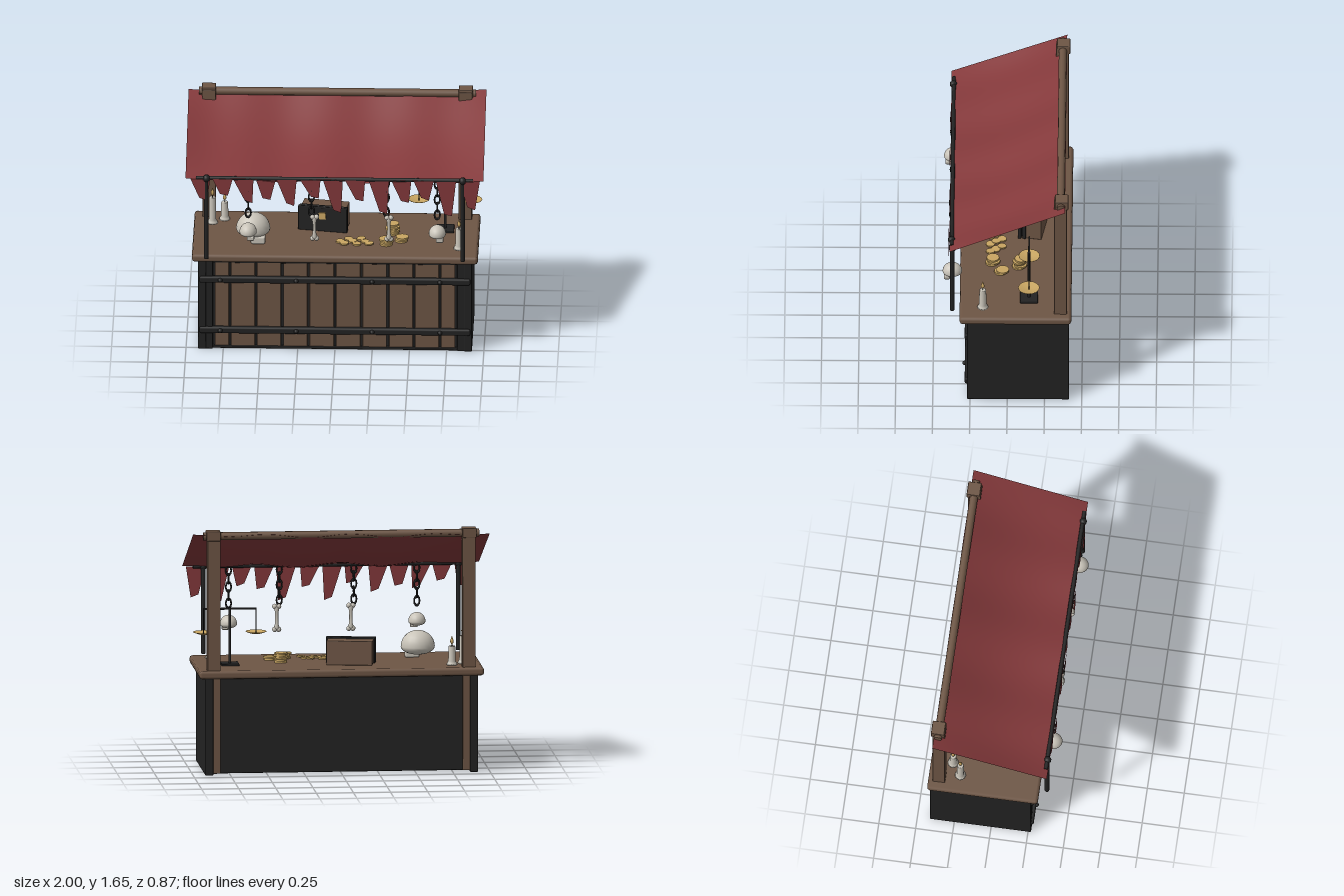
import * as THREE from 'three';
import { RoundedBoxGeometry } from 'three/addons/geometries/RoundedBoxGeometry.js';

const mat = (name, color, side = THREE.FrontSide) => {
  const m = new THREE.MeshStandardMaterial({ color, side });
  m.name = name;
  return m;
};

export function createModel() {
  const root = new THREE.Group();
  root.name = 'marketStall';
  const wood = mat('brown wood', 0x6e5645);
  const dark = mat('dark iron', 0x232323);
  const cloth = mat('red cloth', 0x84393b, THREE.DoubleSide);
  const bone = mat('bone', 0xc9c4b9);
  const gold = mat('gold', 0xc9a662);

  const group = (name, parent = root) => {
    const g = new THREE.Group();
    g.name = name;
    parent.add(g);
    return g;
  };
  const add = (name, geo, m, x = 0, y = 0, z = 0, parent = root) => {
    const mesh = new THREE.Mesh(geo, m);
    mesh.name = name;
    mesh.position.set(x, y, z);
    parent.add(mesh);
    return mesh;
  };
  // box given by its minimum and maximum corners, with a small bevel
  const block = (name, m, a, b, r = 0.006, parent = root) =>
    add(name, new RoundedBoxGeometry(b[0] - a[0], b[1] - a[1], b[2] - a[2], 1, r), m,
      (a[0] + b[0]) / 2, (a[1] + b[1]) / 2, (a[2] + b[2]) / 2, parent);
  const rod = (name, m, r, y0, y1, x, z, parent = root, n = 10) =>
    add(name, new THREE.CylinderGeometry(r, r, y1 - y0, n), m, x, (y0 + y1) / 2, z, parent);

  // counter body, corner frames and top
  block('counterCore', dark, [-0.87, 0.01, -0.385], [0.87, 0.66, 0.243]);
  block('counterTop', wood, [-0.96, 0.655, -0.43], [0.96, 0.71, 0.32], 0.02);
  block('frontSill', dark, [-0.85, 0.004, 0.2], [0.85, 0.022, 0.262], 0.003);
  block('frontHeader', dark, [-0.85, 0.63, 0.2], [0.85, 0.65, 0.262], 0.003);
  for (const s of [-1, 1]) {
    const span = (name, m, x0, x1, y0, y1, z0, z1) =>
      block(name, m, [Math.min(s * x0, s * x1), y0, z0], [Math.max(s * x0, s * x1), y1, z1]);
    span('sidePanel', dark, 0.865, 0.92, 0, 0.66, -0.415, 0.27);
    span('frontCorner', dark, 0.82, 0.918, 0, 0.655, 0.2, 0.268);
    span('backPost', wood, 0.815, 0.905, 0.01, 1.64, -0.4, -0.315);
    span('beamCap', wood, 0.815, 0.91, 1.59, 1.655, -0.41, -0.32);
    rod('frontPole', dark, 0.016, 0.71, 1.3, s * 0.86, 0.37);
    add('poleFinial', new THREE.SphereGeometry(0.025, 10, 8), dark, s * 0.86, 1.3, 0.375);
  }

  // front planks
  const seams = [-0.815, -0.705, -0.53, -0.355, -0.178, 0, 0.178, 0.355, 0.53, 0.705, 0.815];
  for (let i = 0; i < 10; i++)
    block('plank', wood, [seams[i] + 0.008, 0.02, 0.22], [seams[i + 1] - 0.008, 0.633, 0.257], 0.004);

  // iron bands with bolts
  for (const y of [0.142, 0.512]) {
    block('ironBand', dark, [-0.91, y - 0.023, 0.245], [0.91, y + 0.023, 0.286], 0.012);
    for (const x of [-0.77, -0.26, 0.25, 0.705])
      add('bolt', new THREE.SphereGeometry(0.016, 10, 6), dark, x, y, 0.287);
  }

  // ridge beam and front rail
  const beam = new THREE.CylinderGeometry(0.027, 0.027, 1.86, 10).rotateZ(Math.PI / 2);
  add('ridgeBeam', beam, wood, 0, 1.618, -0.36);
  const rail = new THREE.CylinderGeometry(0.014, 0.014, 1.86, 8).rotateZ(Math.PI / 2);
  add('frontRail', rail, dark, 0, 1.302, 0.372);

  // sagging awning, u across and v from back to front
  const awning = new THREE.PlaneGeometry(2, 1, 48, 14);
  const p = awning.attributes.position;
  for (let i = 0; i < p.count; i++) {
    const x = p.getX(i), v = 0.5 - p.getY(i);
    const inner = 1 - x ** 4;
    const sag = 0.055 * Math.sin(Math.PI * v) * inner;
    const ripple = 0.012 * (Math.cos(11 * x + 0.7) - 1) * inner;
    p.setXYZ(i, x, 1.625 - 0.32 * v + 0.01 * x * (1 - v) - sag + ripple, -0.388 + 0.776 * v);
  }
  awning.computeVertexNormals();
  add('awning', awning, cloth);

  // ragged pennants: [top centre, tip x, tip y]
  const pennants = [[-0.9, -0.88, 1.14], [-0.75, -0.74, 1.18], [-0.61, -0.575, 1.13],
    [-0.46, -0.455, 1.15], [-0.32, -0.295, 1.11], [-0.16, -0.13, 1.17], [-0.01, 0.02, 1.06],
    [0.14, 0.17, 1.15], [0.3, 0.33, 1.06], [0.45, 0.475, 1.14], [0.6, 0.61, 1.16],
    [0.75, 0.765, 1.05], [0.91, 0.92, 1.09]];
  pennants.forEach(([c, t, y], i) => {
    const s = new THREE.Shape();
    s.moveTo(c - 0.068, 1.3);
    s.lineTo(t - 0.028, y + (i % 2 ? 0.012 : 0.02));
    s.lineTo(t + 0.024, y);
    s.lineTo(c + 0.066, 1.3);
    add('pennant', new THREE.ShapeGeometry(s), cloth, 0, 0, 0.382 + 0.006 * (i % 3));
  });

  // hanging chains with alternating links
  const chain = (x, y0) => {
    const g = group('chain');
    const n = Math.round((1.3 - y0) / 0.052), step = (1.3 - y0) / n;
    for (let i = 0; i < n; i++) {
      const link = add('chainLink', new THREE.TorusGeometry(0.019, 0.006, 6, 12), dark,
        x, y0 + (i + 0.5) * step, 0.37, g);
      link.scale.y = 1.65;
      link.rotation.y = i % 2 ? Math.PI / 2 : 0.2;
    }
  };

  // skull: domed cranium with a flattened base and a small jaw
  const skull = (name, x, y, z, rx, ry, rz) => {
    const g = group(name);
    g.position.set(x, y, z);
    const geo = new THREE.SphereGeometry(1, 20, 14);
    const q = geo.attributes.position;
    for (let i = 0; i < q.count; i++) if (q.getY(i) < 0) q.setY(i, q.getY(i) * 0.5);
    geo.scale(rx, ry, rz);
    geo.computeVertexNormals();
    add('cranium', geo, bone, 0, 0, 0, g);
    add('jaw', new RoundedBoxGeometry(rx * 0.85, ry * 0.5, rz * 0.6, 2, ry * 0.12), bone,
      rx * 0.3, -ry * 0.5, rz * 0.55, g);
  };
  skull('counterSkull', -0.555, 0.79, 0.04, 0.115, 0.11, 0.105);
  for (const x of [-0.58, 0.69]) {
    chain(x, 1.02);
    skull('hangingSkull', x, 0.91, 0.37, 0.058, 0.06, 0.066);
  }

  // hanging long bones
  const shaft = [[0.012, -0.08], [0.02, -0.068], [0.012, -0.04], [0.011, 0], [0.012, 0.04],
    [0.02, 0.068], [0.012, 0.08]].map(a => new THREE.Vector2(...a));
  for (const [x, cx] of [[-0.135, -0.155], [0.365, 0.348]]) {
    chain(cx, 1.04);
    const g = group('hangingBone');
    g.position.set(x, 0.945, 0.37);
    add('boneShaft', new THREE.LatheGeometry(shaft, 10), bone, 0, 0, 0, g);
    for (const sx of [-1, 1]) for (const sy of [-1, 1])
      add('boneKnob', new THREE.SphereGeometry(0.018, 10, 8), bone, sx * 0.013, sy * 0.078, 0, g);
  }

  // chest with iron front and gold lock
  const chest = group('chest');
  chest.position.set(-0.08, 0.71, -0.17);
  chest.rotation.y = -0.17;
  block('chestBody', wood, [-0.155, 0, -0.08], [0.155, 0.165, 0.04], 0.006, chest);
  block('chestFront', dark, [-0.168, 0, 0.055], [0.168, 0.175, 0.078], 0.005, chest);
  block('chestRim', dark, [-0.165, 0, 0.025], [0.165, 0.172, 0.048], 0.005, chest);
  block('chestHinge', dark, [-0.15, 0.01, 0.04], [0.15, 0.15, 0.06], 0.005, chest);
  const lock = add('chestLock', new THREE.BoxGeometry(0.045, 0.045, 0.009), gold, 0, 0.115, 0.082, chest);
  lock.rotation.z = 0.1;

  // coins, stacked and scattered
  const coin = (x, y, z) =>
    add('coin', new THREE.CylinderGeometry(0.043, 0.043, 0.012, 14), gold, x, y, z);
  const stack = (x, z, n) => {
    for (let i = 0; i < n; i++)
      coin(x + 0.008 * Math.sin(i * 2.4), 0.717 + i * 0.0145, z + 0.008 * Math.cos(i * 2.4));
  };
  stack(0.38, -0.08, 5);
  stack(0.34, 0.1, 3);
  stack(0.44, 0.04, 2);
  for (let i = 0; i < 8; i++) {
    const c = coin(0.03 + i * 0.028, 0.718 + 0.003 * (i % 2), 0.08 + 0.045 * Math.sin(i * 2.1));
    c.scale.set(0.7, 0.8, 0.7);
    c.rotation.z = 0.12 * Math.sin(i * 3);
  }

  // candles with melted bases and flames
  const wax = h => [[0, 0], [0.038, 0], [0.034, 0.012], [0.025, 0.025], [0.023, h - 0.006],
    [0.018, h], [0, h - 0.004]].map(a => new THREE.Vector2(...a));
  const flame = [[0, 0], [0.011, 0.015], [0.012, 0.026], [0.006, 0.045], [0, 0.062]]
    .map(a => new THREE.Vector2(...a));
  for (const [x, z, h] of [[-0.835, -0.22, 0.19], [-0.755, -0.28, 0.13], [0.83, 0.165, 0.15]]) {
    const g = group('candle');
    g.position.set(x, 0.71, z);
    add('candleWax', new THREE.LatheGeometry(wax(h), 12), bone, 0, 0, 0, g);
    rod('wick', dark, 0.003, h - 0.005, h + 0.012, 0, 0, g, 6);
    add('flame', new THREE.LatheGeometry(flame, 10), gold, 0, h + 0.006, 0, g);
  }

  // balance scale
  const scale = group('balanceScale');
  scale.position.set(0.73, 0.71, -0.145);
  block('scaleBase', dark, [-0.06, 0, -0.06], [0.06, 0.015, 0.06], 0.004, scale);
  rod('scalePost', dark, 0.01, 0.01, 0.39, 0, 0, scale);
  block('scaleBeam', dark, [-0.18, 0.375, -0.006], [0.18, 0.388, 0.006], 0.003, scale);
  const dish = [[0, 0], [0.03, 0.003], [0.072, 0.018], [0.07, 0.02], [0.03, 0.008], [0, 0.005]]
    .map(a => new THREE.Vector2(...a));
  for (const s of [-1, 1]) {
    rod('scaleHanger', dark, 0.004, 0.21, 0.38, s * 0.177, 0, scale, 6);
    add('scaleDish', new THREE.LatheGeometry(dish, 16), gold, s * 0.177, 0.207, 0, scale);
  }
  return root;
}
